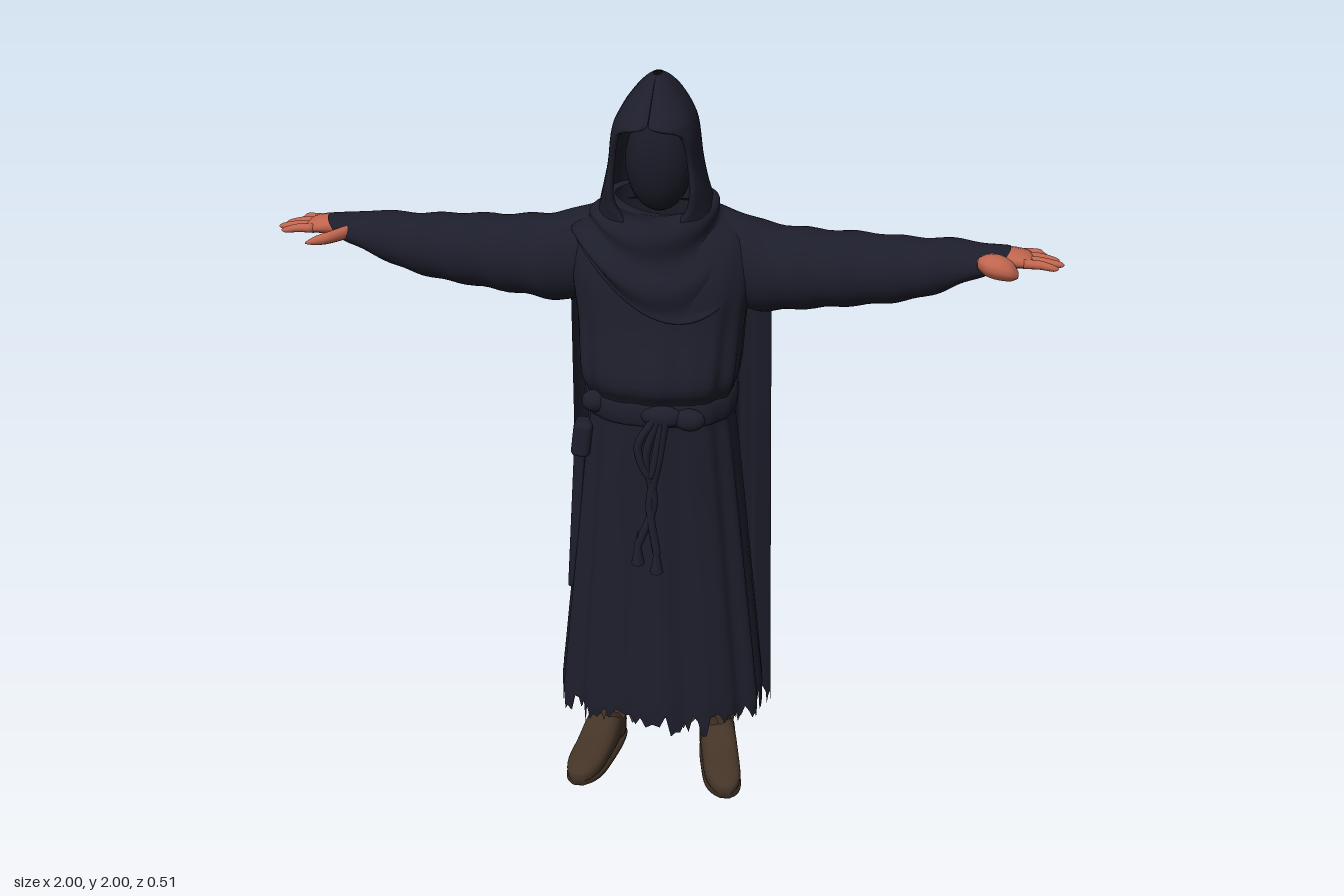
import * as THREE from 'three';
import { RoundedBoxGeometry } from 'three/addons/geometries/RoundedBoxGeometry.js';

const V = (x, y, z) => new THREE.Vector3(x, y, z);
const TAU = Math.PI * 2;
const spow = (v, p) => Math.sign(v) * Math.abs(v) ** p;
const bump = (x, c, w) => Math.exp(-(((x - c) / w) ** 4));

let seed = 7;
const rand = () => (seed = (seed * 16807) % 2147483647) / 2147483647;

const mat = (name, color, side = THREE.FrontSide) => {
  const m = new THREE.MeshStandardMaterial({ color, side });
  m.name = name;
  return m;
};

// Smoothly resample rows of section values
function smooth(keys, per = 4) {
  const out = [];
  const last = keys.length - 1;
  const at = (i) => keys[Math.min(last, Math.max(0, i))];
  for (let i = 0; i < last; i++) {
    for (let k = 0; k < per; k++) {
      const t = k / per;
      out.push(at(i).map((b, j) => {
        const a = at(i - 1)[j], c = at(i + 1)[j], d = at(i + 2)[j];
        return b + 0.5 * t * (c - a + t * (2 * a - 5 * b + 4 * c - d + t * (3 * (b - c) + d - a)));
      }));
    }
  }
  out.push(keys[last]);
  return out;
}

const ring = (n, f) => Array.from({ length: n }, (_, i) => f((i / n) * TAU, i));

// Skin a list of rings; the winding is turned outward by the sign of the volume
function loft(rings, { caps = false, closed = true } = {}) {
  const n = rings[0].length, idx = [], pts = rings.flat();
  const cols = closed ? n : n - 1;
  for (let r = 0; r < rings.length - 1; r++) {
    for (let i = 0; i < cols; i++) {
      const a = r * n + i, b = r * n + ((i + 1) % n);
      idx.push(a, b, a + n, b, b + n, a + n);
    }
  }
  if (caps) {
    [0, rings.length - 1].forEach((r, end) => {
      const mid = rings[r].reduce((s, p) => s.add(p), V(0, 0, 0)).divideScalar(n);
      const c = pts.push(mid) - 1;
      for (let i = 0; i < n; i++) {
        const a = r * n + i, b = r * n + ((i + 1) % n);
        idx.push(c, end ? a : b, end ? b : a);
      }
    });
  }
  const mid = pts.reduce((s, p) => s.add(p), V(0, 0, 0)).divideScalar(pts.length);
  let vol = 0;
  for (let i = 0; i < idx.length; i += 3) {
    const [a, b, c] = [0, 1, 2].map((k) => pts[idx[i + k]].clone().sub(mid));
    vol += a.dot(b.cross(c));
  }
  if (vol < 0) idx.reverse();
  const g = new THREE.BufferGeometry().setFromPoints(pts);
  g.setIndex(idx);
  g.computeVertexNormals();
  return g;
}

export function createModel() {
  seed = 7;
  const model = new THREE.Group();
  const cloth = mat('navy cloth', 0x1d1e2b, THREE.DoubleSide);
  const shade = mat('dark face cloth', 0x191a26);
  const under = mat('brown lining', 0x4a3828, THREE.DoubleSide);
  const skin = mat('skin', 0xc0654e);
  const boot = mat('boot leather', 0x443427);
  const soleMat = mat('boot sole', 0x382b20);
  const add = (name, geo, material, parent = model) => {
    const m = new THREE.Mesh(geo, material);
    m.name = name;
    parent.add(m);
    return m;
  };

  // Robe: torso and pleated skirt with a frayed hem; columns are y, rx, front, back, fold
  const robeRing = ([y, rx, zf, zb, fold], grow = 0, ragged = 0) => ring(144, (a) => {
    const k = 1 + fold * (0.6 * Math.sin(a * 11 + 1) + 0.4 * Math.sin(a * 17 + y));
    const x = (rx + grow) * k * spow(Math.sin(a), 0.85);
    const z = (zf + zb) / 2 + ((zf - zb) / 2 + grow) * k * spow(Math.cos(a), 0.85);
    return V(x + 0.006, y - ragged * rand() ** 1.6, z);
  });
  const robe = smooth([
    [1.65, 0.13, 0.1, -0.09, 0], [1.6, 0.21, 0.14, -0.1, 0], [1.5, 0.23, 0.18, -0.11, 0.005],
    [1.38, 0.215, 0.2, -0.11, 0.02], [1.25, 0.205, 0.234, -0.11, 0.03], [1.19, 0.19, 0.205, -0.1, 0.02],
    [1.13, 0.187, 0.198, -0.1, 0.02], [1.05, 0.198, 0.198, -0.1, 0.03], [0.8, 0.225, 0.2, -0.11, 0.035],
    [0.5, 0.258, 0.212, -0.12, 0.04], [0.28, 0.282, 0.222, -0.13, 0.04]]);
  const hem = robe[robe.length - 1];
  add('robe', loft([...robe.map((s) => robeRing(s)), robeRing([0.265, ...hem.slice(1)], 0, 0.075)]), cloth);
  add('hemLining', loft([robeRing(hem, -0.012), robeRing([0.255, ...hem.slice(1)], -0.012, 0.05)]), under);

  // Cape: a folded sheet down the back with a longer left strip
  const capeRows = [];
  for (let r = 0; r <= 28; r++) {
    const t = (r / 28) ** 1.3, row = [];
    for (let i = 0; i <= 112; i++) {
      const u = i / 112, x = -0.255 + u * (0.525 + 0.035 * t);
      const end = x > 0.15 ? 0.14 : 0.27;
      const y = 1.66 - t * (1.66 - end) - (r === 28 ? 0.075 * rand() ** 1.5 : 0);
      const edge = Math.min(1, Math.min(u, 1 - u) * 9) ** 0.6;
      const valley = 1 - 0.9 * Math.min(1, t * 2.5) * bump(x, 0.138, 0.036);
      const depth = 0.163 * t ** 0.42;
      const fold = 0.007 * t ** 0.5 * (Math.sin(x * 62) + 0.5 * Math.sin(x * 105 + 2));
      const top = Math.max(0, 1 - t * 9);
      row.push(V(x, y - 0.06 * (1 - t) * (Math.abs(x) / 0.26) ** 2, -0.085 + 0.04 * top - (depth + fold) * valley * edge));
    }
    capeRows.push(row);
  }
  add('cape', loft(capeRows, { closed: false }), cloth);

  // Hood: shell rings that run round the back and return inside; columns are y, rx, front, back, opening
  const hoodRows = smooth([
    [1.6, 0.15, 0.15, -0.09, 0.3], [1.66, 0.145, 0.165, -0.08, 0.5], [1.695, 0.138, 0.18, -0.076, 0.75],
    [1.74, 0.126, 0.205, -0.075, 0.95], [1.8, 0.113, 0.215, -0.08, 1.05], [1.86, 0.106, 0.222, -0.08, 0.98],
    [1.89, 0.1, 0.216, -0.078, 0.75], [1.91, 0.092, 0.208, -0.074, 0.04], [1.94, 0.074, 0.165, -0.06, 0.01],
    [1.965, 0.054, 0.13, -0.045, 0.01], [1.987, 0.032, 0.095, -0.018, 0.01], [2, 0.012, 0.06, 0.01, 0.01]], 5);
  const hoodRing = ([y, rx, zf, zb, open]) => {
    const o = Math.max(0.01, open), pts = [];
    for (let i = 0; i < 80; i++) {
      const inner = i >= 40, t = (inner ? 79 - i : i) / 39;
      const a = o + t * (TAU - 2 * o), k = inner ? 0.9 : 1;
      pts.push(V(k * rx * Math.sin(a) - 0.005, y, (zf + zb) / 2 + (k * (zf - zb) / 2) * spow(Math.cos(a), 0.7)));
    }
    return pts;
  };
  add('hood', loft(hoodRows.map(hoodRing)), cloth);
  const face = add('shadowedFace', new THREE.SphereGeometry(1, 24, 16), shade);
  face.scale.set(0.085, 0.13, 0.08);
  face.position.set(-0.003, 1.78, 0.025);

  // Cowl: wrapped folds dipping over the chest; columns are y, rx, centre z, rz, dip
  const cowlRows = smooth([
    [1.7, 0.115, 0.045, 0.1, 0.02], [1.7, 0.135, 0.045, 0.125, 0.03], [1.665, 0.158, 0.04, 0.138, 0.07],
    [1.635, 0.185, 0.045, 0.152, 0.13], [1.6, 0.215, 0.05, 0.158, 0.175], [1.58, 0.205, 0.04, 0.14, 0.17]], 7);
  add('cowl', loft(cowlRows.map(([y, rx, cz, rz, dip], r) => ring(72, (a) => {
    const k = 1 + 0.05 * Math.sin((r / (cowlRows.length - 1)) * TAU * 3.5 + Math.sin(a) * 2.2);
    return V(rx * k * Math.sin(a), y - dip * Math.max(0, Math.cos(a - 0.35)) ** 1.6, cz + rz * k * Math.cos(a));
  }))), cloth);

  // Belt, knot and hanging cords
  const belt = [[1.195, 0], [1.19, 0.008], [1.165, 0.01], [1.14, 0.008], [1.13, 0]];
  add('belt', loft(belt.map(([y, g]) => robeRing([y, 0.19, 0.203, -0.1, 0.01], g))), cloth);
  [[0.03, 1.165, 0.055], [0.1, 1.16, 0.04], [-0.15, 1.175, 0.035]].forEach(([x, y, w]) => {
    const k = add('beltKnot', new THREE.SphereGeometry(1, 16, 12), cloth);
    k.scale.set(w, 0.03, 0.024);
    k.position.set(x, y, x < 0 ? 0.16 : 0.208);
  });
  const cords = [
    [V(0.02, 1.16, 0.22), V(-0.01, 1.05, 0.22), V(0.01, 0.92, 0.22), V(-0.03, 0.8, 0.23)],
    [V(0.04, 1.16, 0.22), V(0.02, 1.03, 0.22), V(0, 0.92, 0.222), V(0.02, 0.78, 0.235)],
    [V(0.01, 1.16, 0.22), V(-0.03, 1.08, 0.225), V(0, 1.0, 0.223), V(0.03, 1.15, 0.22)]];
  cords.forEach((p, i) => {
    add('beltCord', new THREE.TubeGeometry(new THREE.CatmullRomCurve3(p), 24, 0.011, 8), cloth);
    if (i < 2) add('cordTassel', new THREE.ConeGeometry(0.018, 0.1, 8), cloth).position.copy(p[3]).add(V(0, -0.005, 0));
  });
  const pouch = add('pouch', new RoundedBoxGeometry(0.05, 0.1, 0.06, 3, 0.015), cloth);
  pouch.position.set(-0.19, 1.055, 0.13);
  pouch.rotation.z = -0.12;
  const sash = add('sideSash', new RoundedBoxGeometry(0.03, 0.5, 0.05, 2, 0.008), cloth);
  sash.position.set(-0.212, 0.84, 0.1);
  sash.rotation.z = -0.06;

  // Arms and legs, built for each side
  for (const s of [1, -1]) {
    const side = s > 0 ? 'left' : 'right';
    const arm = new THREE.Group();
    arm.name = side + 'Arm';
    const leg = new THREE.Group();
    leg.name = side + 'Leg';
    model.add(arm, leg);

    // Sleeve: x, top, bottom, front, back
    const sleeve = smooth([
      [0.13, 1.665, 1.42, 0.09, -0.09], [0.25, 1.622, 1.39, 0.1, -0.1], [0.36, 1.607, 1.4, 0.1, -0.1],
      [0.5, 1.6, 1.413, 0.085, -0.1], [0.62, 1.595, 1.43, 0.075, -0.088], [0.72, 1.597, 1.458, 0.064, -0.075],
      [0.785, 1.59, 1.492, 0.06, -0.06], [0.835, 1.588, 1.512, 0.055, -0.05]], 6);
    add('sleeve', loft(sleeve.map(([x, t, b, f, k], r) => ring(40, (a) => {
      const w = 1 + 0.025 * Math.sin(x * 55 + 2.5 * Math.sin(a + s)) * Math.min(1, r / 8);
      const lean = (0.035 * Math.sin(a) * r) / sleeve.length;
      return V(s * (x + lean), (t + b) / 2 + ((t - b) / 2) * w * Math.sin(a), (f + k) / 2 + ((f - k) / 2) * w * Math.cos(a));
    }))), cloth, arm);

    // Hand: x, y, z, half height, half depth
    const limb = (name, keys) => add(name, loft(smooth(keys, 3).map(([x, y, z, h, d]) =>
      ring(14, (a) => V(s * x, y + h * Math.sin(a), z + d * Math.cos(a)))), { caps: true }), skin, arm);
    limb('palm', [[0.74, 1.555, 0, 0.022, 0.03], [0.82, 1.56, 0, 0.024, 0.036], [0.87, 1.562, 0.002, 0.023, 0.048],
      [0.91, 1.56, 0.003, 0.017, 0.05], [0.925, 1.558, 0.003, 0.008, 0.045]]);
    [[-0.038, 0.965], [-0.011, 0.99], [0.016, 1], [0.042, 0.985]].forEach(([z, tip]) => limb('finger', [
      [0.9, 1.56, z, 0.012, 0.012], [0.94, 1.56, z * 1.05, 0.011, 0.012],
      [tip - 0.012, 1.554, z * 1.1, 0.008, 0.009], [tip, 1.553, z * 1.1, 0.002, 0.003]]));
    if (s < 0) {
      limb('thumb', [[0.8, 1.556, 0.03, 0.018, 0.018], [0.845, 1.55, 0.072, 0.016, 0.018],
        [0.88, 1.545, 0.09, 0.012, 0.012], [0.905, 1.541, 0.1, 0.003, 0.004]]);
    } else {
      // Left thumb, folded forward of the cuff
      limb('thumb', [[0.788, 1.565, 0.066, 0.012, 0.012], [0.81, 1.562, 0.067, 0.026, 0.036],
        [0.84, 1.558, 0.068, 0.03, 0.042], [0.87, 1.55, 0.068, 0.024, 0.034], [0.888, 1.54, 0.066, 0.008, 0.014]]);
    }

    // Boot shaft: y, x, z, rx, rz
    const shaft = smooth([[0.4, 0.14, -0.01, 0.06, 0.062], [0.22, 0.145, -0.012, 0.057, 0.06], [0.2, 0.145, -0.012, 0.054, 0.058],
      [0.12, 0.152, -0.012, 0.046, 0.053], [0.03, 0.158, -0.012, 0.05, 0.055]]);
    add('bootShaft', loft(shaft.map(([y, x, z, rx, rz]) =>
      ring(24, (a) => V(s * (x + rx * Math.sin(a)), y, z + rz * Math.cos(a)))), { caps: true }), boot, leg);

    // Boot foot and sole: z, x, half width, top
    const foot = smooth([[-0.072, 0.157, 0.025, 0.06], [-0.045, 0.158, 0.046, 0.1], [0.02, 0.165, 0.05, 0.125],
      [0.09, 0.18, 0.052, 0.088], [0.16, 0.195, 0.05, 0.066], [0.2, 0.203, 0.037, 0.052], [0.22, 0.207, 0.016, 0.036]]);
    const footLoft = (low, high, wide, p) => loft(foot.map(([z, x, w, top]) => ring(24, (a) => {
      const t = high || top;
      return V(s * (x + w * wide * spow(Math.cos(a), p)), (low + t) / 2 + ((t - low) / 2) * spow(Math.sin(a), p), z);
    })), { caps: true });
    add('bootFoot', footLoft(0.008, 0, 1.02, 0.7), boot, leg);
    add('bootSole', footLoft(0, 0.016, 1.06, 0.35), soleMat, leg);
  }
  return model;
}
